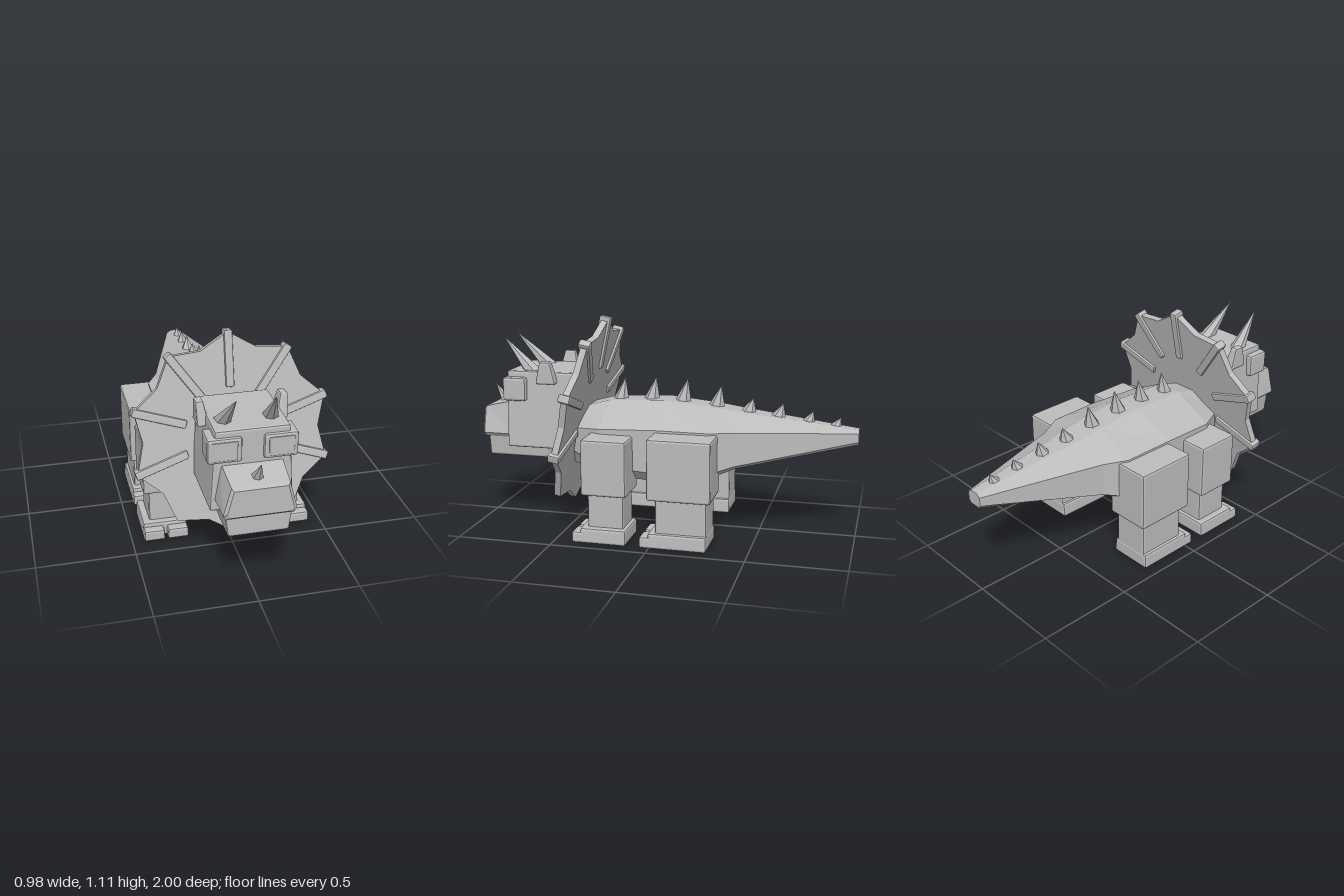
import * as THREE from 'three';
import { RoundedBoxGeometry } from 'three/addons/geometries/RoundedBoxGeometry.js';

const stone = new THREE.MeshStandardMaterial({ color: 0xbcbcbc, flatShading: true });
stone.name = 'stone grey';

function add(parent, name, geometry) {
  const mesh = new THREE.Mesh(geometry, stone);
  mesh.name = name;
  parent.add(mesh);
  return mesh;
}

// Chamfered box given by its min/max corners; taper scales x and z at the top
function block(parent, name, [x0, x1], [y0, y1], [z0, z1], { bevel = 0.012, taperX = 1, taperZ = 1 } = {}) {
  const h = y1 - y0;
  const g = new RoundedBoxGeometry(x1 - x0, h, z1 - z0, 1, bevel);
  const p = g.attributes.position;
  for (let i = 0; i < p.count; i++) {
    const t = p.getY(i) / h + 0.5;
    p.setX(i, p.getX(i) * (1 + (taperX - 1) * t));
    p.setZ(i, p.getZ(i) * (1 + (taperZ - 1) * t));
  }
  g.computeVertexNormals();
  const mesh = add(parent, name, g);
  mesh.position.set((x0 + x1) / 2, (y0 + y1) / 2, (z0 + z1) / 2);
  return mesh;
}

// Six-sided spike from a base point to a tip
function spike(parent, name, base, tip, radius) {
  const a = new THREE.Vector3(...base), b = new THREE.Vector3(...tip);
  const dir = b.clone().sub(a), len = dir.length();
  const mesh = add(parent, name, new THREE.ConeGeometry(radius, len, 6));
  mesh.position.copy(a).add(b).multiplyScalar(0.5);
  mesh.quaternion.setFromUnitVectors(new THREE.Vector3(0, 1, 0), dir.normalize());
  return mesh;
}

// Skin over equal-sized rings, ordered front to back, counterclockwise seen from the front
function loft(rings) {
  const n = rings[0].length, index = [], last = (rings.length - 1) * n;
  for (let i = 0; i < rings.length - 1; i++)
    for (let j = 0; j < n; j++) {
      const a = i * n + j, b = i * n + (j + 1) % n;
      index.push(a, a + n, b, b, a + n, b + n);
    }
  for (let j = 1; j < n - 1; j++) index.push(0, j, j + 1, last, last + j + 1, last + j);
  let g = new THREE.BufferGeometry();
  g.setAttribute('position', new THREE.Float32BufferAttribute(rings.flat(2), 3));
  g.setIndex(index);
  g = g.toNonIndexed();
  g.computeVertexNormals();
  return g;
}

const span = (side, a, b) => side > 0 ? [a, b] : [-b, -a];

export function createModel() {
  const model = new THREE.Group();
  model.name = 'hornedDinosaur';

  // Body and tail: z, half width, flat top half width, top, shoulder, low edge, bottom
  const sections = [
    [0.5, 0.18, 0.06, 0.62, 0.54, 0.43, 0.35],
    [0.3, 0.285, 0.07, 0.675, 0.565, 0.37, 0.31],
    [0, 0.292, 0.07, 0.688, 0.577, 0.35, 0.287],
    [-0.27, 0.288, 0.07, 0.662, 0.575, 0.36, 0.325],
    [-0.39, 0.225, 0.065, 0.645, 0.57, 0.395, 0.37],
    [-1, 0.045, 0.02, 0.575, 0.56, 0.515, 0.5],
  ];
  add(model, 'bodyAndTail', loft(sections.map(([z, w, t, top, mid, low, bot]) => [
    [w, low, z], [w, mid, z], [t, top, z], [-t, top, z],
    [-w, mid, z], [-w, low, z], [-w * 0.75, bot, z], [w * 0.75, bot, z],
  ])));

  // Row of spikes along the back: base z, base y, tip y, radius
  [
    [0.26, 0.66, 0.79, 0.045], [0.09, 0.67, 0.80, 0.045], [-0.08, 0.67, 0.797, 0.045],
    [-0.26, 0.65, 0.77, 0.045], [-0.43, 0.63, 0.71, 0.042], [-0.585, 0.61, 0.69, 0.041],
    [-0.74, 0.59, 0.657, 0.037], [-0.88, 0.575, 0.63, 0.034],
  ].forEach(([z, y, tip, r]) => spike(model, 'backSpike', [0, y, z], [0, tip, z - 0.025], r));

  // Legs with two-toed feet
  const legs = [
    { name: 'front', out: 0.43, top: 0.54, upper: [0.12, 0.355], lower: [0.14, 0.328], lowX: [0.225, 0.4], foot: [0.12, 0.405] },
    { name: 'hind', out: 0.44, top: 0.565, upper: [-0.315, 0.01], lower: [-0.293, -0.03], lowX: [0.225, 0.42], foot: [-0.295, 0.05] },
  ];
  for (const leg of legs)
    for (const side of [1, -1]) {
      const g = new THREE.Group();
      g.name = leg.name + (side > 0 ? 'LeftLeg' : 'RightLeg');
      model.add(g);
      const [heel, toe] = leg.foot;
      block(g, 'thigh', span(side, 0.2, leg.out), [0.25, leg.top], leg.upper);
      block(g, 'shin', span(side, ...leg.lowX), [0.04, 0.28], leg.lower);
      block(g, 'foot', span(side, 0.207, 0.44), [0, 0.08], [heel, toe - 0.045], { taperX: 0.96 });
      for (const x of [0.207, 0.33])
        block(g, 'toe', span(side, x, x + 0.11), [0, 0.058], [toe - 0.1, toe], { taperX: 0.94 });
    }

  // Tilted frill with a ten-pointed rim and seven ribs
  const frill = new THREE.Group();
  frill.name = 'frill';
  frill.position.set(0, 0.6, 0.445);
  frill.rotation.x = -0.205;
  frill.scale.y = 1.02;
  model.add(frill);
  const rim = [];
  for (let i = 0; i < 20; i++) {
    const r = i % 2 ? 0.44 : 0.5, a = Math.PI / 2 + i * Math.PI / 10;
    rim.push(new THREE.Vector2(r * Math.cos(a), r * Math.sin(a)));
  }
  const plate = new THREE.ExtrudeGeometry(new THREE.Shape(rim), { depth: 0.034, bevelEnabled: false });
  plate.translate(0, 0, -0.017);
  add(frill, 'frillPlate', plate);
  for (const deg of [90, 54, 18, -18, 126, 162, 198]) {
    const pivot = new THREE.Group();
    pivot.name = 'frillRib';
    pivot.rotation.z = THREE.MathUtils.degToRad(deg);
    frill.add(pivot);
    block(pivot, 'rib', [0.235, 0.51], [-0.021, 0.021], [-0.031, 0.031], { bevel: 0.008 });
  }

  // Head and jaws
  const head = new THREE.Group();
  head.name = 'head';
  model.add(head);
  block(head, 'skull', [-0.2, 0.2], [0.42, 0.83], [0.455, 0.838], { taperX: 0.88 });
  block(head, 'lowerJaw', [-0.145, 0.145], [0.355, 0.475], [0.55, 0.965], { taperX: 1.1 });
  const snoutRing = (z, wTop, wBot, top, bot) => [
    [wBot, bot + 0.02, z], [wTop, top, z], [-wTop, top, z],
    [-wBot, bot + 0.02, z], [-wBot + 0.015, bot, z], [wBot - 0.015, bot, z],
  ];
  add(head, 'snout', loft([
    snoutRing(0.995, 0.125, 0.155, 0.61, 0.475),
    snoutRing(0.983, 0.135, 0.172, 0.622, 0.463),
    snoutRing(0.8, 0.145, 0.176, 0.665, 0.463),
  ]));
  spike(head, 'noseHorn', [0, 0.61, 0.91], [0, 0.725, 0.982], 0.036);

  for (const side of [1, -1]) {
    // Eyes: raised block with a panel on the front and on the outer face
    block(head, 'eyeBlock', span(side, 0.05, 0.213), [0.672, 0.798], [0.725, 0.852], { bevel: 0.014 });
    block(head, 'eyePanel', span(side, 0.073, 0.193), [0.688, 0.782], [0.849, 0.857], { bevel: 0.002 });
    // Brow horns and small ears
    spike(head, 'browHorn', [side * 0.117, 0.8, 0.70], [side * 0.09, 1.0, 0.885], 0.045);
    const ear = block(head, 'ear', span(side, 0.165, 0.225), [0.77, 0.89], [0.555, 0.668], { taperX: 0.6, taperZ: 0.5 });
    ear.rotation.z = side * -0.12;
  }
  return model;
}
